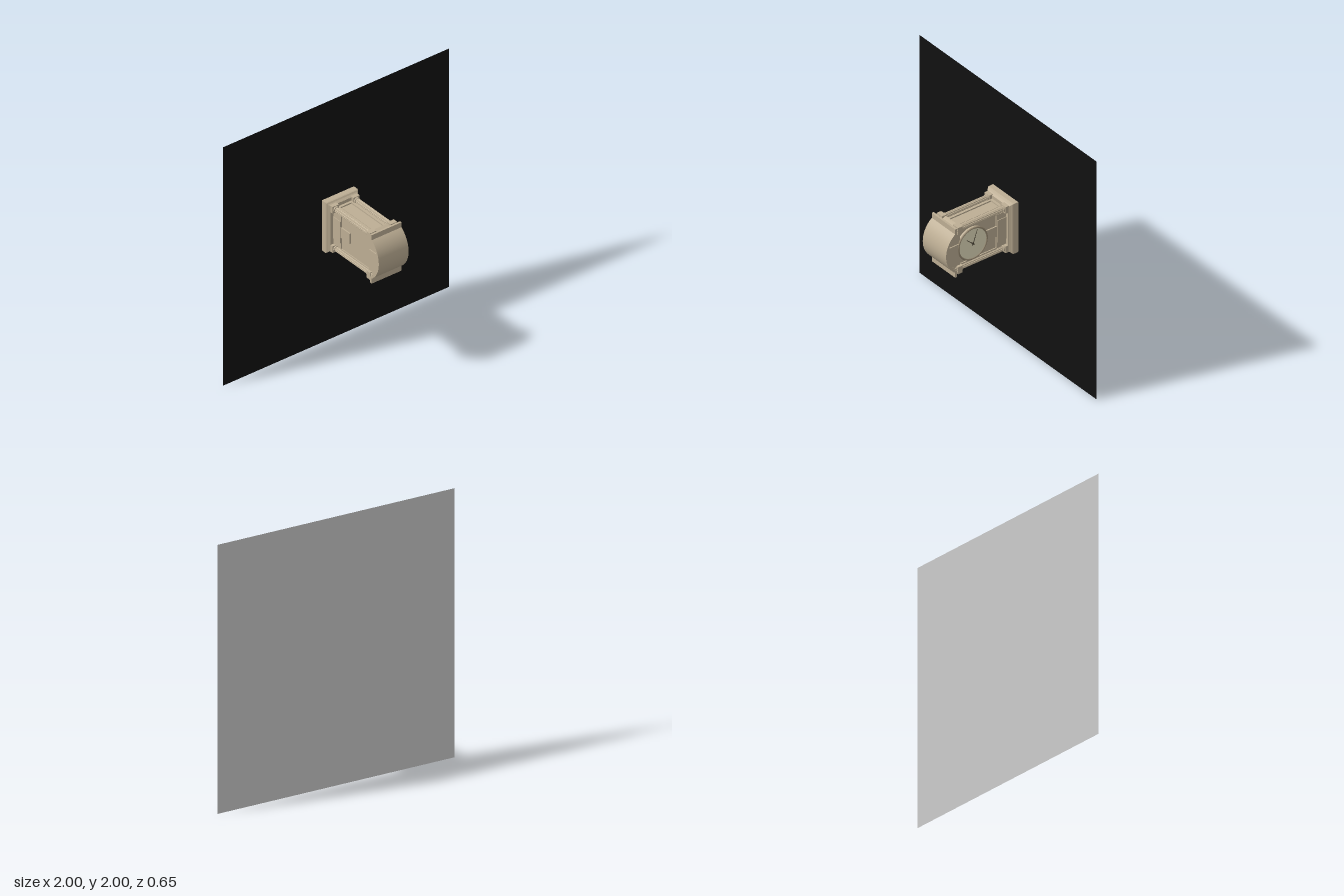
import * as THREE from 'three';

const stone = new THREE.MeshStandardMaterial({ color: 0xbdae94 });
const shade = new THREE.MeshStandardMaterial({ color: 0x988a72 });
const cream = new THREE.MeshStandardMaterial({ color: 0xe2dcbc });
const dark = new THREE.MeshStandardMaterial({ color: 0x4a4335 });
const black = new THREE.MeshStandardMaterial({ color: 0x111111 });
const grey = new THREE.MeshStandardMaterial({ color: 0xcccccc });

function add(parent, name, geometry, material, x = 0, y = 0, z = 0) {
  const mesh = new THREE.Mesh(geometry, material);
  mesh.name = name;
  mesh.position.set(x, y, z);
  parent.add(mesh);
  return mesh;
}

// Box given by its width range centre, bottom, top and depth range centre
function block(parent, name, w, y0, y1, d, x = 0, z = 0, material = stone) {
  return add(parent, name, new THREE.BoxGeometry(w, y1 - y0, d), material, x, (y0 + y1) / 2, z);
}

// Shape extruded symmetrically about z = 0
function slab(shape, depth) {
  const g = new THREE.ExtrudeGeometry(shape, { depth, bevelEnabled: false, curveSegments: 40 });
  return g.translate(0, 0, -depth / 2);
}

// Circular segment standing on a chord at height y
function segment(radius, cy, y) {
  const a = Math.asin((y - cy) / radius);
  const s = new THREE.Shape();
  s.absarc(0, cy, radius, a, Math.PI - a, false);
  s.closePath();
  return s;
}

// Arched band between two radii, ending on a chord
function band(outer, inner, cy, y) {
  const a = Math.asin((y - cy) / outer), b = Math.asin((y - cy) / inner);
  const s = new THREE.Shape();
  s.absarc(0, cy, outer, a, Math.PI - a, false);
  s.absarc(0, cy, inner, Math.PI - b, b, true);
  s.closePath();
  return s;
}

// Moulded base: rectangular rings stacked by a profile of [y, half width, half depth]
function mouldedBase() {
  const profile = [[0.015, 0.205, 0.138], [0.02, 0.21, 0.142], [0.06, 0.21, 0.142], [0.068, 0.207, 0.139],
    [0.075, 0.198, 0.132], [0.09, 0.187, 0.12]];
  const pos = [], idx = [];
  const corners = [[-1, 1], [1, 1], [1, -1], [-1, -1]];
  for (let i = 0; i < profile.length - 1; i++) {
    for (let k = 0; k < 4; k++) {
      const n = pos.length / 3;
      for (const [row, c] of [[i, k], [i, (k + 1) % 4], [i + 1, (k + 1) % 4], [i + 1, k]]) {
        const [y, w, d] = profile[row];
        pos.push(corners[c][0] * w, y, corners[c][1] * d);
      }
      idx.push(n, n + 1, n + 2, n, n + 2, n + 3);
    }
  }
  const g = new THREE.BufferGeometry();
  g.setAttribute('position', new THREE.Float32BufferAttribute(pos, 3));
  g.setIndex(idx);
  g.computeVertexNormals();
  return g;
}

// Fluted column shaft
function flutedShaft(radius, height) {
  const s = new THREE.Shape();
  const n = 40;
  for (let i = 0; i < n; i++) {
    const a = (i / n) * Math.PI * 2;
    const r = radius * (0.91 + 0.09 * Math.cos(a * 10));
    if (i) s.lineTo(r * Math.cos(a), r * Math.sin(a));
    else s.moveTo(r, 0);
  }
  s.closePath();
  return new THREE.ExtrudeGeometry(s, { depth: height, bevelEnabled: false }).rotateX(-Math.PI / 2);
}

// Corner column with its pedestal, capital and finial neck
function column(parent, sx, sz) {
  const g = new THREE.Group();
  g.name = 'cornerColumn';
  g.position.set(sx * 0.165, 0, sz * 0.092);
  parent.add(g);
  add(g, 'foot', new THREE.CylinderGeometry(0.024, 0.024, 0.018, 24), stone, 0, 0.009, 0);
  block(g, 'pedestal', 0.056, 0.075, 0.114, 0.056);
  add(g, 'shaft', flutedShaft(0.019, 0.39), stone, 0, 0.11, 0);
  for (const y of [0.119, 0.489])
    add(g, 'shaftRing', new THREE.CylinderGeometry(0.023, 0.023, 0.01, 24), stone, 0, y, 0);
  block(g, 'capital', 0.058, 0.496, 0.535, 0.058);
  for (const x of [-0.016, 0, 0.016])
    for (const z of [-0.016, 0, 0.016])
      add(g, 'neckPeg', new THREE.CylinderGeometry(0.007, 0.007, 0.022, 10), stone, x, 0.545, z);
}

// Thin tapered hand lying on the dial
function hand(parent, name, tipX, tipY, width) {
  const len = Math.hypot(tipX, tipY);
  const s = new THREE.Shape();
  s.moveTo(-width, -0.015);
  s.lineTo(width, -0.015);
  s.lineTo(width * 0.4, len);
  s.lineTo(-width * 0.4, len);
  s.closePath();
  const m = add(parent, name, slab(s, 0.003), dark, 0, 0, 0.012);
  m.rotation.z = Math.atan2(-tipX, tipY);
}

function buildClock() {
  const clock = new THREE.Group();
  clock.name = 'clock';

  // Base and case
  add(clock, 'mouldedBase', mouldedBase(), stone);
  block(clock, 'baseUnderside', 0.408, 0.015, 0.02, 0.274);
  block(clock, 'baseTop', 0.372, 0.08, 0.09, 0.238);
  block(clock, 'caseBody', 0.3, 0.085, 0.56, 0.17);
  block(clock, 'plinth', 0.274, 0.085, 0.175, 0.184);
  block(clock, 'plinthPanel', 0.18, 0.085, 0.17, 0.194);

  // Side panels with raised frames
  for (const s of [-1, 1]) {
    const x = s * 0.15;
    block(clock, 'sidePanel', 0.012, 0.12, 0.5, 0.084, x, 0);
    for (const z of [-0.056, 0.056]) block(clock, 'sideFrameStile', 0.02, 0.09, 0.535, 0.014, x, z);
    for (const y of [0.09, 0.51]) block(clock, 'sideFrameRail', 0.02, y, y + 0.02, 0.112, x, 0);
    block(clock, 'eave', 0.05, 0.553, 0.57, 0.264, s * 0.178, 0);
    for (const z of [-1, 1]) column(clock, s, z);
  }

  // Arched top with a projecting roof band
  add(clock, 'archInfill', slab(segment(0.193, 0.447, 0.5), 0.2), stone);
  add(clock, 'roofBand', slab(band(0.203, 0.186, 0.447, 0.553), 0.264), stone);
  add(clock, 'innerArch', slab(band(0.186, 0.178, 0.447, 0.54), 0.22), stone);

  // Blocks above and below the dial
  block(clock, 'upperKeystone', 0.086, 0.51, 0.622, 0.216);
  block(clock, 'lowerKeystone', 0.086, 0.17, 0.275, 0.19);
  for (const s of [-1, 1]) block(clock, 'faceStile', 0.012, 0.175, 0.53, 0.186, s * 0.143, 0);

  // Dial with rim, marks and hands
  const dial = new THREE.Group();
  dial.name = 'dial';
  dial.position.set(0, 0.395, 0.1);
  clock.add(dial);
  add(dial, 'dialDrum', new THREE.CylinderGeometry(0.128, 0.128, 0.024, 64).rotateX(Math.PI / 2), stone, 0, 0, -0.006);
  add(dial, 'dialFace', new THREE.CircleGeometry(0.122, 64), cream, 0, 0, 0.0075);
  add(dial, 'dialRim', new THREE.TorusGeometry(0.126, 0.007, 10, 64), shade, 0, 0, 0.006);
  add(dial, 'handHub', new THREE.CylinderGeometry(0.007, 0.007, 0.008, 20).rotateX(Math.PI / 2), dark, 0, 0, 0.011);
  hand(dial, 'minuteHand', 0.106, -0.037, 0.003);
  hand(dial, 'hourHand', 0.053, 0.058, 0.004);

  // Lay the clock so its base meets the panel and its dial faces +x
  clock.quaternion.setFromRotationMatrix(new THREE.Matrix4().makeBasis(
    new THREE.Vector3(0, 1, 0), new THREE.Vector3(0, 0, 1), new THREE.Vector3(1, 0, 0)));
  clock.position.set(0, 1, -0.325);
  return clock;
}

export function createModel() {
  const model = new THREE.Group();
  model.name = 'clockOnPanel';

  // Square ground panel, black in front and grey behind
  add(model, 'panelFront', new THREE.PlaneGeometry(2, 2), black, 0, 1, -0.325);
  add(model, 'panelBack', new THREE.PlaneGeometry(2, 2).rotateY(Math.PI), grey, 0, 1, -0.327);
  model.add(buildClock());
  return model;
}
